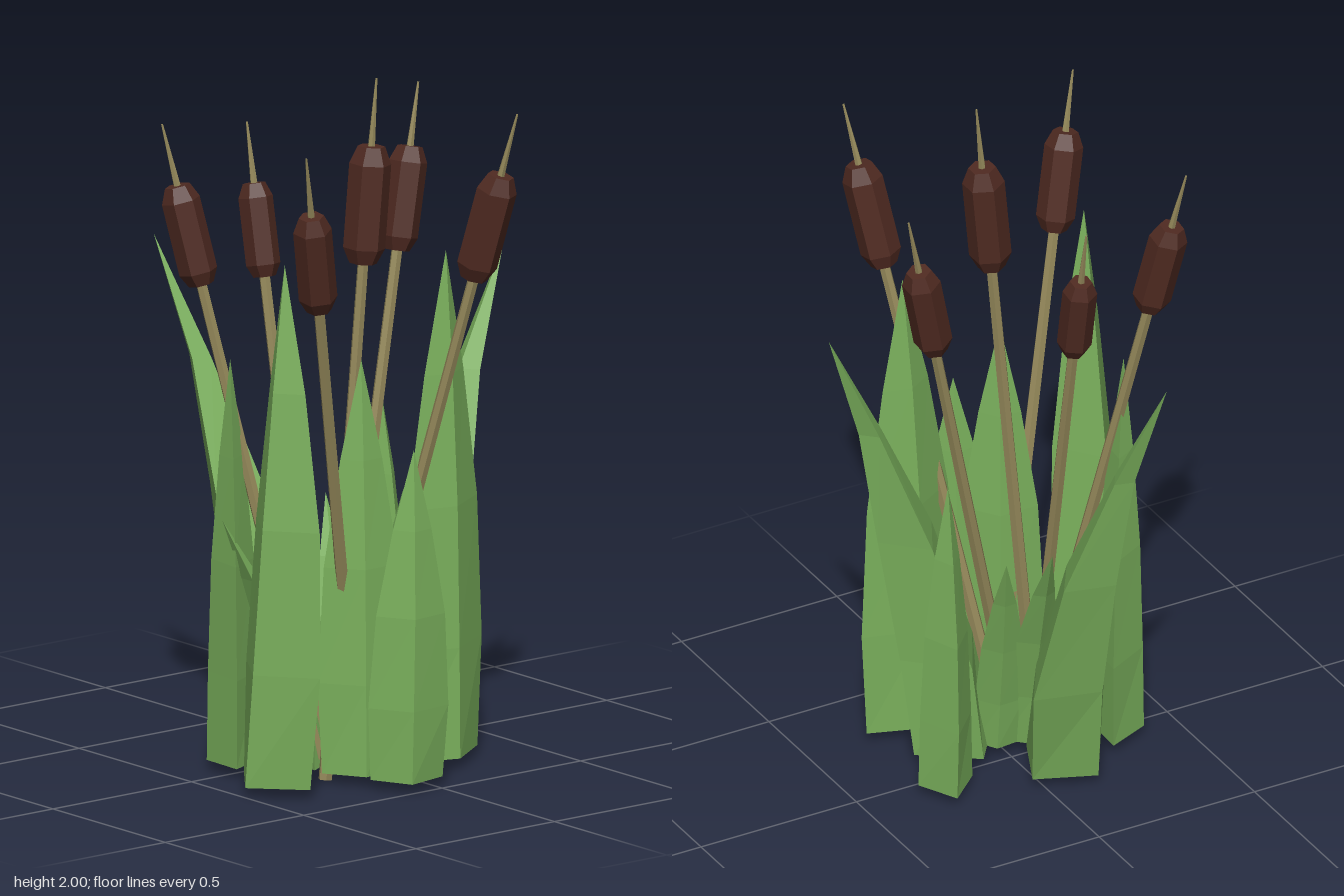
import * as THREE from 'three';

const mat = (color) => new THREE.MeshStandardMaterial({ color, flatShading: true });

// Leaf blade: diamond cross-sections that follow a leaning, bowed curve up to a point
function leafGeometry([bx, bz], [tx, ty, tz], width, thick, angle, [bowX, bowZ] = [0, 0], taper = 1) {
  // Rings: height fraction, width factor, thickness factor
  const rings = [[0, 0.9, 1], [0.22, 1, 0.95], [0.5, 0.86, 0.8], [0.76, 0.48, 0.46]];
  const c = Math.cos(angle), s = Math.sin(angle);
  const y0 = 0.03, pos = [], idx = [];
  for (const [f, kw, kt] of rings) {
    const lean = f * f, bow = Math.sin(Math.PI * f);
    const x = bx + (tx - bx) * lean + bowX * bow;
    const z = bz + (tz - bz) * lean + bowZ * bow;
    const y = y0 + (ty - y0) * f;
    for (const [u, n] of [[1, 0], [0, 1], [-1, 0], [0, -1]]) {
      const du = u * width * Math.pow(kw, taper), dn = n * thick * Math.pow(kt, taper);
      pos.push(x + c * du + s * dn, y, z - s * du + c * dn);
    }
  }
  pos.push(tx, ty, tz);
  const tip = rings.length * 4;
  idx.push(0, 1, 2, 0, 2, 3);
  for (let r = 0; r < rings.length; r++) {
    for (let i = 0; i < 4; i++) {
      const a = r * 4 + i, b = r * 4 + (i + 1) % 4;
      if (r === rings.length - 1) idx.push(a, tip, b);
      else idx.push(a, a + 4, b, b, a + 4, b + 4);
    }
  }
  const g = new THREE.BufferGeometry();
  g.setAttribute('position', new THREE.Float32BufferAttribute(pos, 3));
  g.setIndex(idx);
  const flat = g.toNonIndexed();
  flat.computeVertexNormals();
  return flat;
}

// Straight reed: tapered stem, faceted seed head and thin spike on one axis
function makeReed(base, tip, headLength, radius, stemMat, headMat) {
  const a = new THREE.Vector3(...base), b = new THREE.Vector3(...tip);
  const length = a.distanceTo(b);
  const headTop = length * 0.903, headBottom = headTop - headLength;

  const reed = new THREE.Group();
  reed.name = 'reed';
  reed.position.copy(a);
  reed.quaternion.setFromUnitVectors(new THREE.Vector3(0, 1, 0), b.clone().sub(a).normalize());

  const add = (name, geometry, material, y) => {
    const mesh = new THREE.Mesh(geometry, material);
    mesh.name = name;
    mesh.position.y = y;
    reed.add(mesh);
  };
  const stemLength = headBottom + 0.02;
  add('stem', new THREE.CylinderGeometry(0.016, 0.02, stemLength, 6), stemMat, stemLength / 2);

  const profile = [[0, 0], [0.65, 0], [1, 0.13], [1, 0.85], [0.65, 1], [0, 1]]
    .map(([r, h]) => new THREE.Vector2(r * radius, h * headLength));
  add('seedHead', new THREE.LatheGeometry(profile, 6, Math.PI / 6), headMat, headBottom);

  const spikeLength = length - headTop + 0.01;
  add('spike', new THREE.CylinderGeometry(0.003, 0.011, spikeLength, 6), stemMat, length - spikeLength / 2);
  return reed;
}

export function createModel() {
  const model = new THREE.Group();
  model.name = 'reedClump';
  const leafMat = mat(0x7ab05c), stemMat = mat(0x94885a), headMat = mat(0x4f2a21);

  // Reeds: base, tip, head length, head radius
  const reeds = [
    [[0.12, 0.05, 0.135], [-0.24, 1.8, 0.105], 0.265, 0.049],
    [[0.17, 0.05, 0.18], [-0.18, 1.86, 0.46], 0.29, 0.055],
    [[0.08, 0.05, 0.05], [-0.05, 1.88, -0.36], 0.295, 0.055],
    [[0.22, 0.002, 0.195], [0.22, 2, 0.01], 0.335, 0.06],
    [[0.22, 0.05, 0.08], [0.45, 1.88, 0.45], 0.295, 0.055],
    [[0.12, 0.05, 0.03], [0.545, 1.92, -0.235], 0.315, 0.058],
  ];
  for (const r of reeds) model.add(makeReed(...r, stemMat, headMat));

  // Leaves: base (x, z), tip, half width, half thickness, turn, bow (x, z), taper
  const leaves = [
    [[-0.13, 0.09], [-0.55, 1.43, 0.19], 0.16, 0.13, 1.95, [-0.07, -0.03], 1.7],
    [[0.12, -0.12], [0.15, 1.43, -0.505], 0.165, 0.14, 0.15, [0.03, -0.04], 1.7],
    [[0.285, -0.17], [0.27, 1.48, -0.2], 0.165, 0.075, 1.7],
    [[0.24, 0.385], [0.28, 1.53, 0.39], 0.155, 0.12, 0.05, [0.04, 0]],
    [[0.44, 0.08], [0.46, 0.98, 0.07], 0.115, 0.08, 1.1, [0.01, 0]],
    [[0.3, 0.13], [0.3, 1.22, 0.13], 0.125, 0.07, 1.1],
    [[-0.035, 0.32], [0, 1.2, 0.36], 0.13, 0.075, -0.6],
    [[-0.065, -0.25], [-0.08, 1, -0.25], 0.115, 0.08, -0.18],
    [[0.04, 0.06], [-0.233, 0.78, 0], 0.07, 0.045, 1.4, [-0.03, 0]],
    [[0.05, -0.02], [-0.13, 0.72, -0.09], 0.07, 0.04, 1.1, [-0.02, 0]],
    [[0.13, 0.18], [0.04, 0.75, 0.42], 0.1, 0.055, -0.5, [-0.02, 0.03]],
  ];
  for (const l of leaves) {
    const leaf = new THREE.Mesh(leafGeometry(...l), leafMat);
    leaf.name = 'leaf';
    model.add(leaf);
  }
  return model;
}
